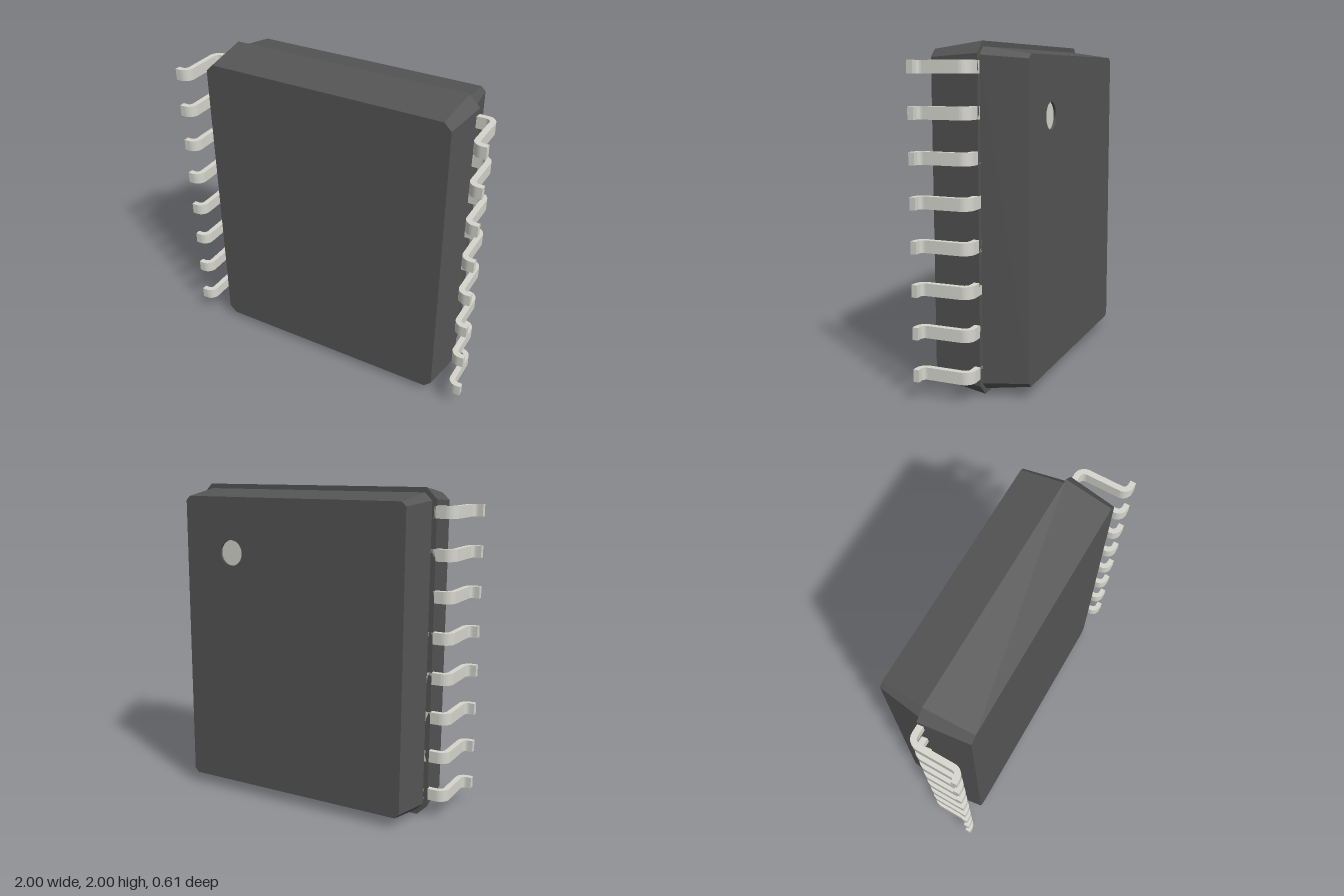
import * as THREE from 'three';
import { mergeGeometries, toCreasedNormals } from 'three/addons/utils/BufferGeometryUtils.js';

const SEAM = -0.035, FRONT = 0.265, BACK = -0.305, MID_Y = 1;

// Rectangle with cut corners, counter-clockwise
function octagon(hw, hh, c) {
  return [
    [hw, -hh + c], [hw, hh - c], [hw - c, hh], [-hw + c, hh],
    [-hw, hh - c], [-hw, -hh + c], [-hw + c, -hh], [hw - c, -hh],
  ].map(([x, y]) => new THREE.Vector2(x, y + MID_Y));
}

// Flat cap facing +z or -z, with an optional hole
function cap(points, z, facing, hole) {
  const shape = new THREE.Shape(points);
  if (hole) shape.holes.push(hole);
  const g = new THREE.ShapeGeometry(shape, 24).toNonIndexed();
  if (facing < 0) {
    // Reverse the winding so that the cap faces backwards
    const p = g.attributes.position;
    for (let i = 0; i < p.count; i += 3) {
      const x = p.getX(i), y = p.getY(i);
      p.setXY(i, p.getX(i + 1), p.getY(i + 1));
      p.setXY(i + 1, x, y);
    }
  }
  g.translate(0, 0, z);
  g.deleteAttribute('uv');
  g.computeVertexNormals();
  return g;
}

// Flat-shaded sloping walls from outline a (at za) forward to outline b (at zb)
function walls(a, za, b, zb) {
  const v = [];
  a.forEach((p, i) => {
    const j = (i + 1) % a.length, q = a[j], r = b[j], s = b[i];
    v.push(p.x, p.y, za, q.x, q.y, za, r.x, r.y, zb);
    v.push(p.x, p.y, za, r.x, r.y, zb, s.x, s.y, zb);
  });
  const g = new THREE.BufferGeometry();
  g.setAttribute('position', new THREE.Float32BufferAttribute(v, 3));
  g.computeVertexNormals();
  return g;
}

// Gull-wing lead profile in x and z, extruded along y
function leadGeometry(height) {
  const s = new THREE.Shape();
  s.moveTo(0.77, -0.035);
  s.lineTo(0.88, -0.035);
  s.absarc(0.88, 0.03, 0.065, -Math.PI / 2, 0, false);
  s.lineTo(0.945, 0.24);
  s.absarc(0.97, 0.24, 0.025, Math.PI, Math.PI / 2, true);
  s.lineTo(1, 0.265);
  s.lineTo(1, 0.3);
  s.lineTo(0.97, 0.3);
  s.absarc(0.97, 0.24, 0.06, Math.PI / 2, Math.PI, false);
  s.lineTo(0.91, 0.03);
  s.absarc(0.88, 0.03, 0.03, 0, -Math.PI / 2, true);
  s.lineTo(0.77, 0);
  s.closePath();
  const g = new THREE.ExtrudeGeometry(s, { depth: height, bevelEnabled: false, curveSegments: 8 });
  g.translate(0, 0, -height / 2);
  g.rotateX(Math.PI / 2);
  return toCreasedNormals(g, 0.6);
}

export function createModel() {
  const model = new THREE.Group();
  model.name = 'chipPackage';
  const plastic = new THREE.MeshStandardMaterial({ color: 0x555555 });
  const metal = new THREE.MeshStandardMaterial({ color: 0xd6d6ce });
  const add = (name, geometry, material, parent = model) => {
    const mesh = new THREE.Mesh(geometry, material);
    mesh.name = name;
    parent.add(mesh);
    return mesh;
  };

  // Outlines of the two tapered body halves
  const frontFace = octagon(0.79, 0.96, 0.045);
  const frontSeam = octagon(0.83, 1, 0.067);
  const backSeam = octagon(0.8, 0.97, 0.045);
  const backFace = octagon(0.76, 0.93, 0.027);

  // Front half, with the narrow ledge at the seam
  add('frontBody', mergeGeometries([
    walls(frontSeam, SEAM, frontFace, FRONT),
    cap(frontFace, FRONT, 1),
    cap(frontSeam, SEAM, -1, new THREE.Path(backSeam)),
  ]), plastic);

  // Back half, with a round opening for the index mark
  const mark = { x: 0.42, y: 1.585, r: 0.08, depth: 0.015 };
  const opening = new THREE.Path().absarc(mark.x, mark.y, mark.r, 0, Math.PI * 2, true);
  add('backBody', mergeGeometries([
    walls(backFace, BACK, backSeam, SEAM),
    cap(backFace, BACK, -1, opening),
  ]), plastic);

  // Shallow index mark: recess wall and floor
  const wall = new THREE.CylinderGeometry(mark.r, mark.r, mark.depth, 48, 1, true).rotateX(Math.PI / 2);
  const wallMaterial = plastic.clone();
  wallMaterial.side = THREE.DoubleSide;
  add('indexMarkWall', wall, wallMaterial).position.set(mark.x, mark.y, BACK + mark.depth / 2);
  const floor = new THREE.CircleGeometry(mark.r, 48).rotateY(Math.PI);
  add('indexMarkFloor', floor, metal).position.set(mark.x, mark.y, BACK + mark.depth);

  // Eight leads along each side
  const lead = leadGeometry(0.072);
  for (const [name, turn] of [['leftLeads', 0], ['rightLeads', Math.PI]]) {
    const row = new THREE.Group();
    row.name = name;
    for (let i = 0; i < 8; i++) {
      const mesh = add('lead', lead, metal, row);
      mesh.position.y = 1.003 + (i - 3.5) * 0.245;
      mesh.rotation.z = turn;
    }
    model.add(row);
  }
  return model;
}
